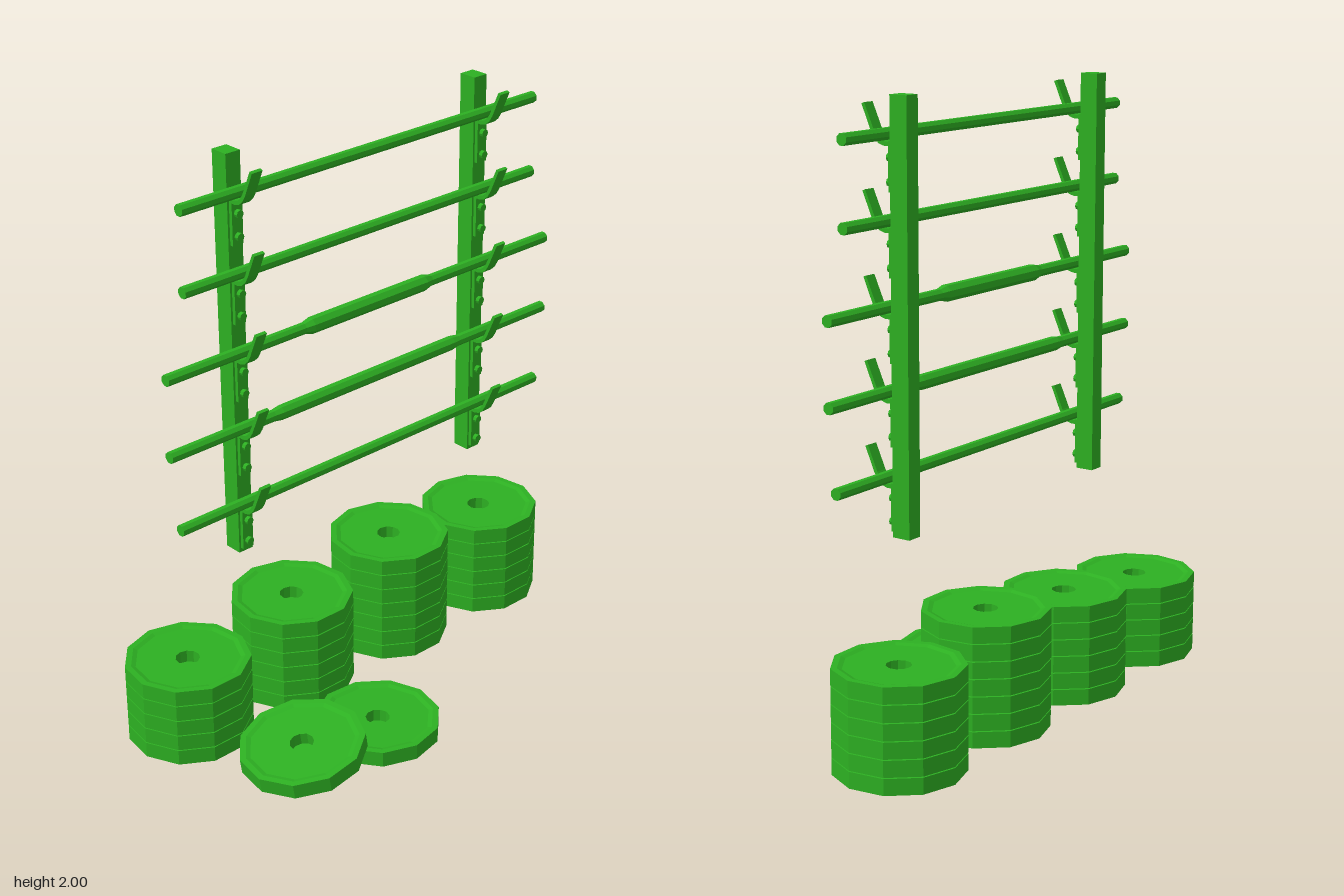
import * as THREE from 'three';

export function createModel() {
  const model = new THREE.Group();
  const green = new THREE.MeshStandardMaterial({ color: 0x2db022, flatShading: true });
  green.name = 'green';

  const add = (geometry, name, x = 0, y = 0, z = 0, parent = model) => {
    const mesh = new THREE.Mesh(geometry, green);
    mesh.name = name;
    mesh.position.set(x, y, z);
    parent.add(mesh);
    return mesh;
  };

  // Weight plate: raised rim, shallow face, blind centre hole
  const R = 0.207;
  const plateGeo = new THREE.LatheGeometry([
    [0, 0], [R, 0], [R, 0.053], [0.187, 0.053], [0.172, 0.048],
    [0.04, 0.048], [0.04, 0.006], [0, 0.006],
  ].map(([x, y]) => new THREE.Vector2(x, y)), 11, Math.PI);

  // Stacks along the back
  const step = 0.0565;
  [[-0.668, 5], [-0.223, 6], [0.222, 7], [0.666, 6]].forEach(([x, count]) => {
    const stack = new THREE.Group();
    stack.name = 'plateStack';
    stack.position.set(x, 0, -0.215);
    for (let i = 0; i < count; i++) add(plateGeo, 'plate', 0, i * step, 0, stack);
    model.add(stack);
  });

  // Two loose plates, one leaning on the other
  add(plateGeo, 'loosePlate', -0.225, 0, 0.212).rotation.y = 3.05;
  const leaning = add(plateGeo, 'leaningPlate', -0.521, 0.034, 0.182);
  leaning.rotation.set(0, 0, 0.155);

  // Hook profile drawn in z (across) and y (up), relative to the bar height
  const hookShape = new THREE.Shape([
    [-0.09, -0.035], [-0.065, -0.036], [-0.045, -0.03], [-0.028, -0.015], [-0.016, 0.005],
    [0.018, 0.083], [0.008, 0.087], [-0.027, 0.009], [-0.038, -0.008], [-0.051, -0.018],
    [-0.067, -0.023], [-0.09, -0.022],
  ].map(([z, y]) => new THREE.Vector2(z, y)));
  const hookGeo = new THREE.ExtrudeGeometry(hookShape, { depth: 0.04, bevelEnabled: false });
  hookGeo.translate(0, 0, -0.02).rotateY(-Math.PI / 2);

  const postGeo = new THREE.BoxGeometry(0.054, 1.33, 0.062);
  const bracketGeo = new THREE.BoxGeometry(0.04, 0.15, 0.012);
  const boltGeo = new THREE.CylinderGeometry(0.013, 0.013, 0.022, 8).rotateX(Math.PI / 2);

  // Bars: height, half length, sleeve half length, sleeve radius
  const bars = [
    [1.885, 0.728, 0, 0],
    [1.63, 0.728, 0, 0],
    [1.373, 0.804, 0.27, 0.027],
    [1.117, 0.804, 0.4, 0.024],
    [0.855, 0.776, 0, 0],
  ];
  const barZ = -0.07;

  // Uprights with their hooks and bolts
  [-0.51, 0.503].forEach((x) => {
    add(postGeo, 'post', x, 1.335, -0.122);
    bars.forEach(([y]) => {
      add(hookGeo, 'hook', x, y, 0);
      add(bracketGeo, 'hookBracket', x, y - 0.095, -0.085);
      [-0.07, -0.143].forEach((dy) => add(boltGeo, 'bolt', x, y + dy, -0.076));
    });
  });

  // Bars, two of them with a thicker middle tapering at the ends
  bars.forEach(([y, half, sleeve, radius]) => {
    const r = 0.019;
    const profile = [[0, -half], [r, -half]];
    if (sleeve) {
      profile.push([r, -sleeve], [radius, -sleeve + 0.03], [radius, sleeve - 0.03], [r, sleeve]);
    }
    profile.push([r, half], [0, half]);
    const geo = new THREE.LatheGeometry(profile.map(([a, b]) => new THREE.Vector2(a, b)), 8, Math.PI / 8);
    add(geo.rotateZ(-Math.PI / 2), 'bar', -0.003, y, barZ);
  });

  return model;
}
